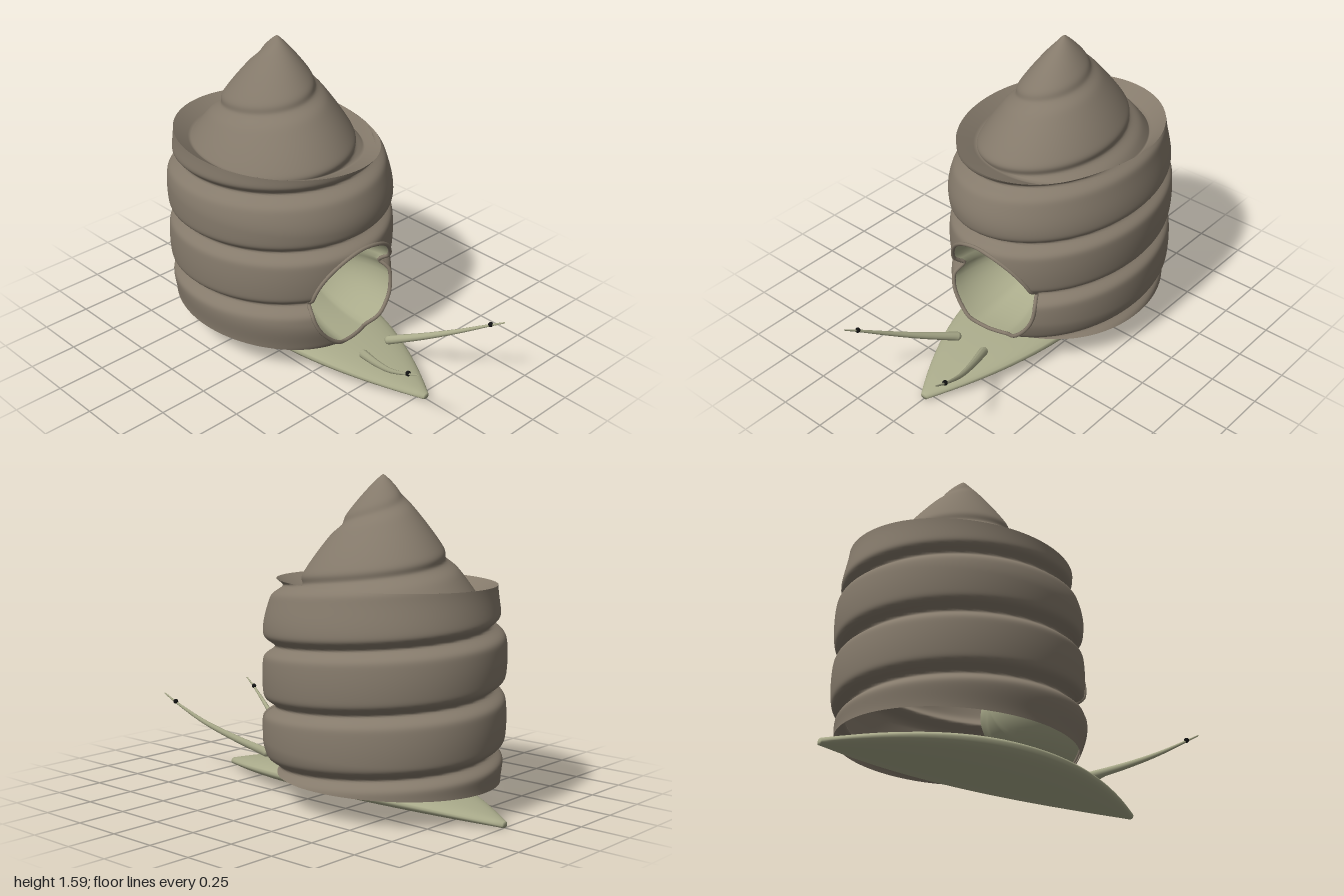
import * as THREE from 'three';

const CX = -0.265, RX = 0.635, RZ = 0.525; // shell axis and ellipse radii
const PITCH = 0.3, BASE = 0.14, RIM = 1.08, TIP = 1.59;
const MOUTH = { y: 0.395, r: 0.275 };

// Groove strength 0..1 along the rising spiral, plus distance from the coil centre
function coil(phi, y) {
  const v = (y - 0.27) / PITCH - (Math.PI - phi) / (2 * Math.PI);
  const p = v - Math.floor(v);
  const q = Math.min(p, 1 - p);
  return { notch: Math.exp(-((q / 0.1) ** 2)), edge: (2 * Math.abs(p - 0.5)) ** 2 };
}

function onEllipse(phi, y, r) {
  return new THREE.Vector3(CX + RX * r * Math.cos(phi), y, RZ * r * Math.sin(phi));
}

function wallPoint(phi, y) {
  const { notch, edge } = coil(phi, y);
  const env = 1 - 0.08 * THREE.MathUtils.smoothstep(y, 0.8, RIM)
    - 0.04 * (1 - THREE.MathUtils.smoothstep(y, BASE, 0.3));
  return onEllipse(phi, y, env * (1 - 0.025 * edge - 0.085 * notch));
}

function spirePoint(phi, y) {
  const { notch, edge } = coil(phi, y);
  const r = 1.22 * Math.max(TIP - y, 0) ** 0.86;
  return onEllipse(phi, y, r * (1.02 - 0.03 * edge - 0.07 * notch));
}

// Closed loops of points joined row by row; keep() can leave quads out
function loft(rows, cols, point, keep = () => true) {
  const pos = [], index = [];
  for (let i = 0; i <= rows; i++)
    for (let j = 0; j < cols; j++) pos.push(...point(i, j).toArray());
  for (let i = 0; i < rows; i++)
    for (let j = 0; j < cols; j++) {
      const k = (j + 1) % cols;
      if (!keep(i, j, k)) continue;
      const a = i * cols + j, b = a + cols, c = i * cols + k, d = c + cols;
      index.push(a, b, c, c, b, d);
    }
  const g = new THREE.BufferGeometry();
  g.setAttribute('position', new THREE.Float32BufferAttribute(pos, 3));
  g.setIndex(index);
  g.computeVertexNormals();
  return g;
}

// Point on the mouth's edge, following the shell surface
function mouthPoint(t) {
  const y = Math.max(BASE, MOUTH.y + MOUTH.r * Math.sin(t));
  return wallPoint(Math.asin(MOUTH.r * Math.cos(t) / RZ), y);
}

function wallGeometry() {
  const rows = 110, cols = 180;
  const phiAt = j => (j / cols) * 2 * Math.PI - Math.PI;
  const yAt = i => BASE + (RIM - BASE) * i / rows;
  const offset = (i, j) => [RZ * Math.sin(phiAt(j)), yAt(i) - MOUTH.y];
  const inside = (i, j) => Math.cos(phiAt(j)) > 0 && Math.hypot(...offset(i, j)) < MOUTH.r;
  // points inside the mouth slide out to its edge
  const point = (i, j) => {
    if (!inside(i, j)) return wallPoint(phiAt(j), yAt(i));
    const [u, v] = offset(i, j);
    return mouthPoint(Math.atan2(v, u));
  };
  const keep = (i, j, k) =>
    !(inside(i, j) && inside(i + 1, j) && inside(i, k) && inside(i + 1, k));
  return loft(rows, cols, point, keep);
}

// Sunken ledge inside the rim, then the pointed spire
function spireGeometry() {
  const ledge = 6, rows = 76, cols = 120, low = 1.02;
  return loft(rows, cols, (i, j) => {
    const phi = (j / cols) * 2 * Math.PI - Math.PI;
    if (i >= ledge) return spirePoint(phi, low + (TIP - low) * (i - ledge) / (rows - ledge));
    return wallPoint(phi, RIM).lerp(spirePoint(phi, low), i / ledge);
  });
}

// Hollow lining running back from the mouth
function liningGeometry() {
  const rows = 16, cols = 64;
  return loft(rows, cols, (i, j) => {
    const a = (i / rows) * Math.PI / 2;
    const p = mouthPoint((j / cols) * 2 * Math.PI);
    const s = Math.cos(a) * 0.99;
    return new THREE.Vector3(
      THREE.MathUtils.lerp(p.x - 0.004, -0.1, Math.sin(a)),
      Math.max(BASE, MOUTH.y + (p.y - MOUTH.y) * s), p.z * s);
  });
}

// Boat-shaped foot: cross-sections along x, narrow and low at both ends
function footGeometry() {
  const rows = 48, cols = 24;
  const g = loft(rows + 2, cols, (i, j) => {
    const n = THREE.MathUtils.clamp(i - 1, 0, rows);
    const s = 2 * n / rows - 1;
    const f = 1 - s * s;
    const x = -0.105 + 0.895 * s;
    const w = 0.02 + 0.285 * f;
    const edge = 0.016 + 0.084 * f;
    const top = 0.034 + 0.119 * f, bottom = 0.003 + 0.027 * f;
    const t = (j / cols) * 2 * Math.PI;
    const c = Math.cos(t), h = Math.sin(t);
    if (i === 0 || i === rows + 2) return new THREE.Vector3(x, edge, 0);
    return new THREE.Vector3(x, edge + (h > 0 ? (top - edge) * h : (edge - bottom) * h),
      w * Math.sign(c) * Math.abs(c) ** 0.85);
  });
  return g;
}

// Feeler: a bent tube that thins toward its tip
function feelerGeometry(side) {
  const path = new THREE.CatmullRomCurve3([
    [0.45, 0.135, 0.09], [0.62, 0.205, 0.17], [0.77, 0.277, 0.237],
    [0.925, 0.365, 0.288], [0.998, 0.408, 0.304],
  ].map(([x, y, z]) => new THREE.Vector3(x, y, side * z)));
  const n = 32, sides = 12;
  const g = new THREE.TubeGeometry(path, n, 0.023, sides);
  const pos = g.attributes.position, p = new THREE.Vector3();
  for (let i = 0; i < pos.count; i++) {
    const t = Math.floor(i / (sides + 1)) / n;
    const c = path.getPointAt(t);
    p.fromBufferAttribute(pos, i).sub(c).multiplyScalar(1 - 0.85 * t).add(c);
    pos.setXYZ(i, p.x, p.y, p.z);
  }
  g.computeVertexNormals();
  return g;
}

export function createModel() {
  const model = new THREE.Group();
  model.name = 'snail';
  const paint = color => new THREE.MeshStandardMaterial({ color, side: THREE.DoubleSide });
  const shellMat = paint(0x857a6b), bodyMat = paint(0xa9aa8a), eyeMat = paint(0x111111);
  const add = (name, geometry, material, parent = model) => {
    const m = new THREE.Mesh(geometry, material);
    m.name = name;
    parent.add(m);
    return m;
  };

  const shell = new THREE.Group();
  shell.name = 'shell';
  model.add(shell);
  add('shellWall', wallGeometry(), shellMat, shell);
  add('shellSpire', spireGeometry(), shellMat, shell);

  // thin rolled lip around the mouth
  const edge = [];
  for (let i = 0; i < 72; i++) edge.push(mouthPoint((i / 72) * 2 * Math.PI));
  const lip = new THREE.CatmullRomCurve3(edge, true);
  add('mouthLip', new THREE.TubeGeometry(lip, 144, 0.01, 8, true), shellMat, shell);
  add('mouthLining', liningGeometry(), bodyMat, shell);

  add('foot', footGeometry(), bodyMat);
  for (const side of [1, -1]) {
    const name = side > 0 ? 'front' : 'back';
    add(name + 'Feeler', feelerGeometry(side), bodyMat);
    // rounded root of the feeler
    add(name + 'FeelerRoot', new THREE.SphereGeometry(0.023, 12, 8), bodyMat)
      .position.set(0.45, 0.135, side * 0.09);
    add(name + 'Eye', new THREE.SphereGeometry(0.013, 12, 8), eyeMat)
      .position.set(0.927, 0.37, side * 0.289);
  }
  return model;
}
